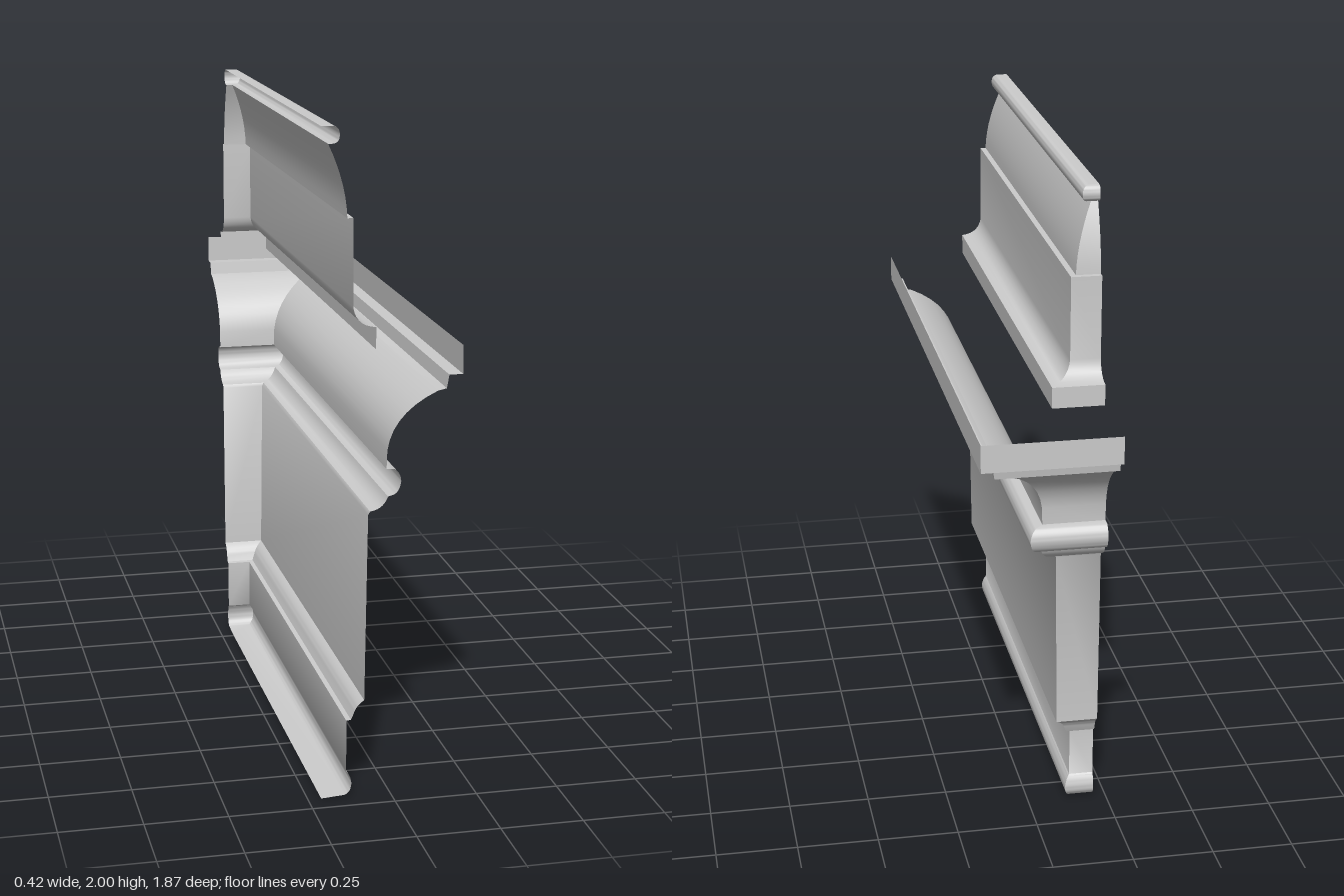
import * as THREE from 'three';
import { toCreasedNormals } from 'three/addons/utils/BufferGeometryUtils.js';

const WALL = -0.21;     // plane the moulding is fixed to
const FRONT = 0.935;    // open front end of the long run
const MITRE = 0.727;    // the return sits at z = -(x + MITRE)

// Sweep a profile (x outwards, y up) along the long run and round the mitred corner.
function sweep(path) {
  const profile = path.getPoints(7);
  const rows = profile.map(({ x, y }) => [
    [x, y, FRONT],
    [x, y, -(x + MITRE)],
    [WALL, y, -(x + MITRE)],
  ]);
  const pos = [];
  for (let i = 0; i < rows.length - 1; i++) {
    for (let j = 0; j < 2; j++) {
      const a = rows[i][j], b = rows[i][j + 1];
      const c = rows[i + 1][j + 1], d = rows[i + 1][j];
      // profiles run from top to bottom
      pos.push(...a, ...d, ...c, ...a, ...c, ...b);
    }
  }
  const geometry = new THREE.BufferGeometry();
  geometry.setAttribute('position', new THREE.Float32BufferAttribute(pos, 3));
  return toCreasedNormals(geometry, 0.6);
}

const from = (x, y) => new THREE.Path().moveTo(x, y);

export function createModel() {
  const group = new THREE.Group();
  group.name = 'corniceMoulding';
  const material = new THREE.MeshStandardMaterial({ color: 0xcccccc, side: THREE.DoubleSide });

  const parts = {
    // rounded bead along the top edge
    topBead: from(WALL, 2)
      .lineTo(-0.18, 2)
      .quadraticCurveTo(-0.157, 2, -0.157, 1.975)
      .quadraticCurveTo(-0.157, 1.95, -0.18, 1.95)
      .lineTo(-0.19, 1.95),
    // curved crown above the upper board
    crown: from(-0.19, 1.95)
      .quadraticCurveTo(-0.138, 1.84, -0.135, 1.74)
      .lineTo(-0.117, 1.74),
    // upper board with its flared foot
    upperBoard: from(-0.117, 1.74)
      .lineTo(-0.117, 1.485)
      .quadraticCurveTo(-0.11, 1.43, -0.05, 1.425)
      .lineTo(-0.05, 1.36),
    // projecting shelf, open on top
    shelf: from(0.208, 1.36)
      .lineTo(0.208, 1.275)
      .lineTo(0.167, 1.275)
      .lineTo(0.16, 1.235),
    // hollow under the shelf
    cove: from(0.16, 1.235)
      .lineTo(0.135, 1.23)
      .quadraticCurveTo(0.0, 1.17, -0.015, 1.06)
      .lineTo(-0.017, 1.005),
    // half-round band with a small cove below
    roundBand: from(-0.017, 1.005)
      .lineTo(0.008, 1.003)
      .quadraticCurveTo(0.027, 0.99, 0.027, 0.965)
      .quadraticCurveTo(0.022, 0.93, 0.0, 0.925)
      .lineTo(-0.012, 0.922)
      .quadraticCurveTo(-0.025, 0.885, -0.065, 0.88),
    // broad panel, tapering slightly to its stepped lower edge
    frieze: from(-0.065, 0.88)
      .lineTo(-0.071, 0.87)
      .lineTo(-0.08, 0.3)
      .quadraticCurveTo(-0.105, 0.285, -0.112, 0.26)
      .lineTo(-0.12, 0.242)
      .lineTo(-0.134, 0.24),
    // base strip with a rounded foot
    baseStrip: from(-0.134, 0.24)
      .lineTo(-0.134, 0.08)
      .quadraticCurveTo(-0.12, 0.065, -0.118, 0.04)
      .quadraticCurveTo(-0.12, 0.01, -0.14, 0.005)
      .lineTo(WALL, 0),
  };

  for (const [name, path] of Object.entries(parts)) {
    const mesh = new THREE.Mesh(sweep(path), material);
    mesh.name = name;
    group.add(mesh);
  }
  return group;
}
